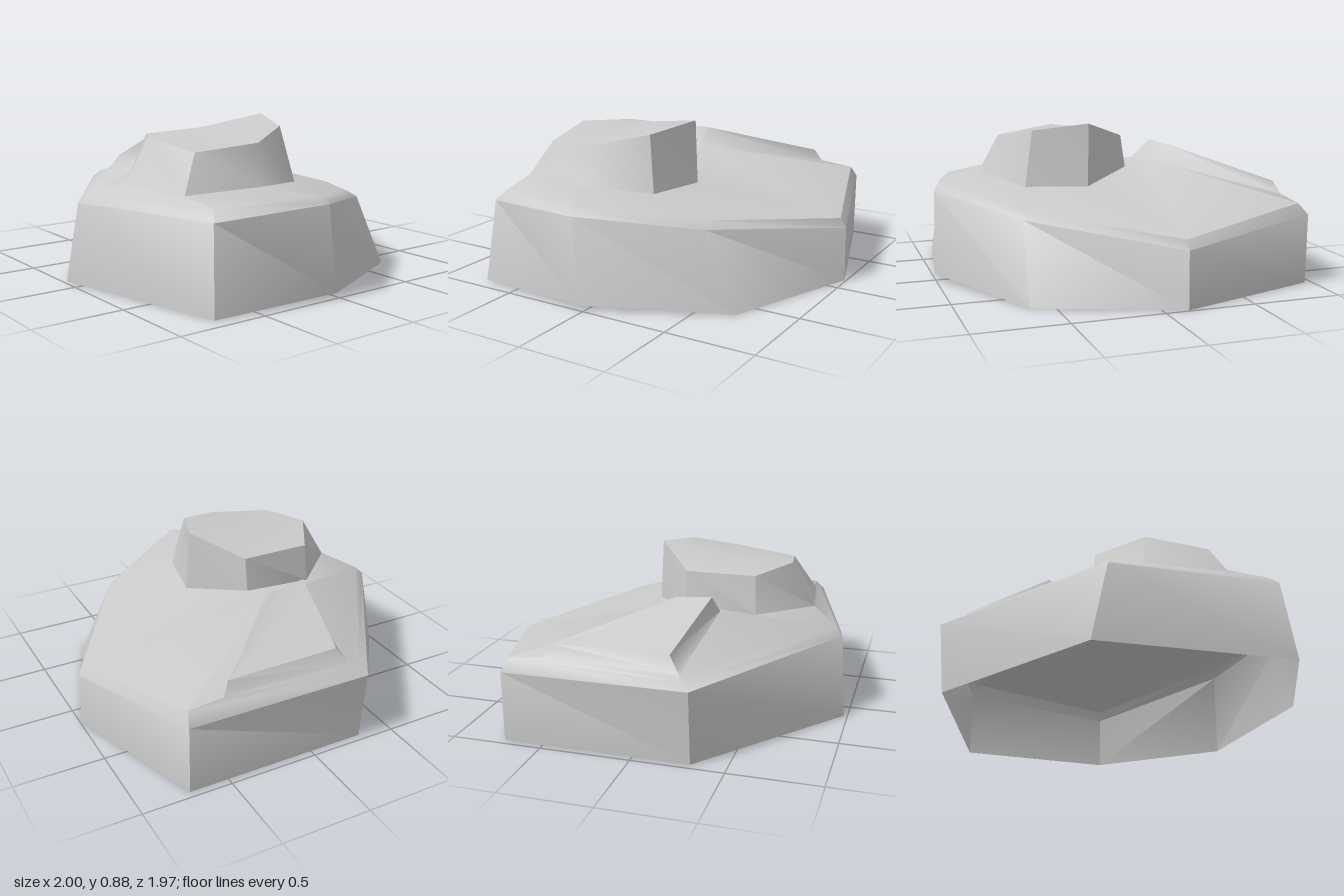
import * as THREE from 'three';
import { toCreasedNormals } from 'three/addons/utils/BufferGeometryUtils.js';

// Strip between two rings (upper/inner and lower/outer), both clockwise from above.
function strip(inner, outer) {
  const tris = [];
  const n = inner.length;
  for (let k = 0; k < n; k++) {
    const m = (k + 1) % n;
    if (inner[k] !== inner[m]) tris.push([outer[k], inner[k], inner[m]]);
    if (outer[k] !== outer[m]) tris.push([outer[k], inner[m], outer[m]]);
  }
  return tris;
}

// Quad with corners counter-clockwise from above.
const quad = (a, b, c, d) => [[a, b, c], [a, c, d]];

export function createModel() {
  // Seven-sided boulder outline: foot, rim and bevelled shoulder
  const base = [
    [-0.96, 0, -0.72], [-0.13, 0, -0.99], [0.63, 0, -0.70], [1.0, 0.03, 0.02],
    [0.91, 0, 0.74], [-0.13, 0, 0.98], [-0.96, 0, 0.31],
  ];
  const rim = [
    [-0.965, 0.39, -0.72], [-0.13, 0.31, -0.985], [0.61, 0.42, -0.50], [0.985, 0.50, 0.07],
    [0.85, 0.46, 0.70], [-0.05, 0.45, 0.94], [-1.0, 0.41, 0.31],
  ];
  const shoulder = [
    [-0.91, 0.455, -0.70], [-0.13, 0.36, -0.95], [0.58, 0.455, -0.45], [0.95, 0.535, 0.08],
    [0.80, 0.515, 0.66], [-0.03, 0.49, 0.90], [-0.96, 0.445, 0.28],
  ];
  const [A, B, C, D, E, F, G] = shoulder;

  // Steep knob: foot and top rings, clockwise from its front left corner
  const foot = [
    [-0.15, 0.56, 0.46], [-0.16, 0.59, 0.05], [0.15, 0.525, -0.19], [0.50, 0.53, -0.12],
    [0.67, 0.565, 0.25], [0.58, 0.55, 0.68], [0.13, 0.555, 0.75],
  ];
  const top = [
    [-0.13, 0.78, 0.45], [-0.13, 0.78, 0.05], [0.14, 0.88, -0.17], [0.44, 0.84, -0.06],
    [0.57, 0.78, 0.20], [0.50, 0.75, 0.56], [0.15, 0.80, 0.61],
  ];
  const peak = [0.12, 0.825, 0.25];
  const [f0, f1, f2, f3, f4, f5, f6] = foot;

  // Tilted slab beside the knob
  const slabFoot = [[-0.91, 0.475, -0.50], [-0.33, 0.62, 0.06], [-0.29, 0.61, 0.29], [-0.92, 0.465, 0.24]];
  const slabTop = [[-0.88, 0.545, -0.46], [-0.43, 0.715, 0.08], [-0.40, 0.72, 0.27], [-0.88, 0.55, 0.18]];
  const [p0, p1, q1, q0] = slabFoot;
  const [b0, b1, c1, c0] = slabTop;

  const parts = {
    wall: [...strip(rim, base), ...strip(shoulder, rim)],
    ground: strip(
      [f4, f5, f6, f0, q1, q0, p0, p1, f1, f2, f3],
      [D, E, F, F, F, G, A, B, B, B, C],
    ),
    saddle: quad(p1, q1, f0, f1),
    slab: [...strip(slabTop, slabFoot), ...quad(b0, c0, c1, b1)],
    knob: [...strip(top, foot), ...strip(top.map(() => peak), top)],
  };

  // Normals are worked out over the whole shell so parts blend into each other
  const all = new THREE.BufferGeometry();
  const coords = Object.values(parts).flat(3);
  all.setAttribute('position', new THREE.Float32BufferAttribute(coords, 3));
  const shell = toCreasedNormals(all, 0.75);

  const material = new THREE.MeshStandardMaterial({ color: 0xcccccc, side: THREE.DoubleSide });
  const group = new THREE.Group();
  group.name = 'boulder';
  let start = 0;
  for (const [name, tris] of Object.entries(parts)) {
    const end = start + tris.length * 9;
    const geometry = new THREE.BufferGeometry();
    for (const key of ['position', 'normal']) {
      const data = shell.getAttribute(key).array.slice(start, end);
      geometry.setAttribute(key, new THREE.BufferAttribute(data, 3));
    }
    const mesh = new THREE.Mesh(geometry, material);
    mesh.name = name;
    group.add(mesh);
    start = end;
  }
  return group;
}
